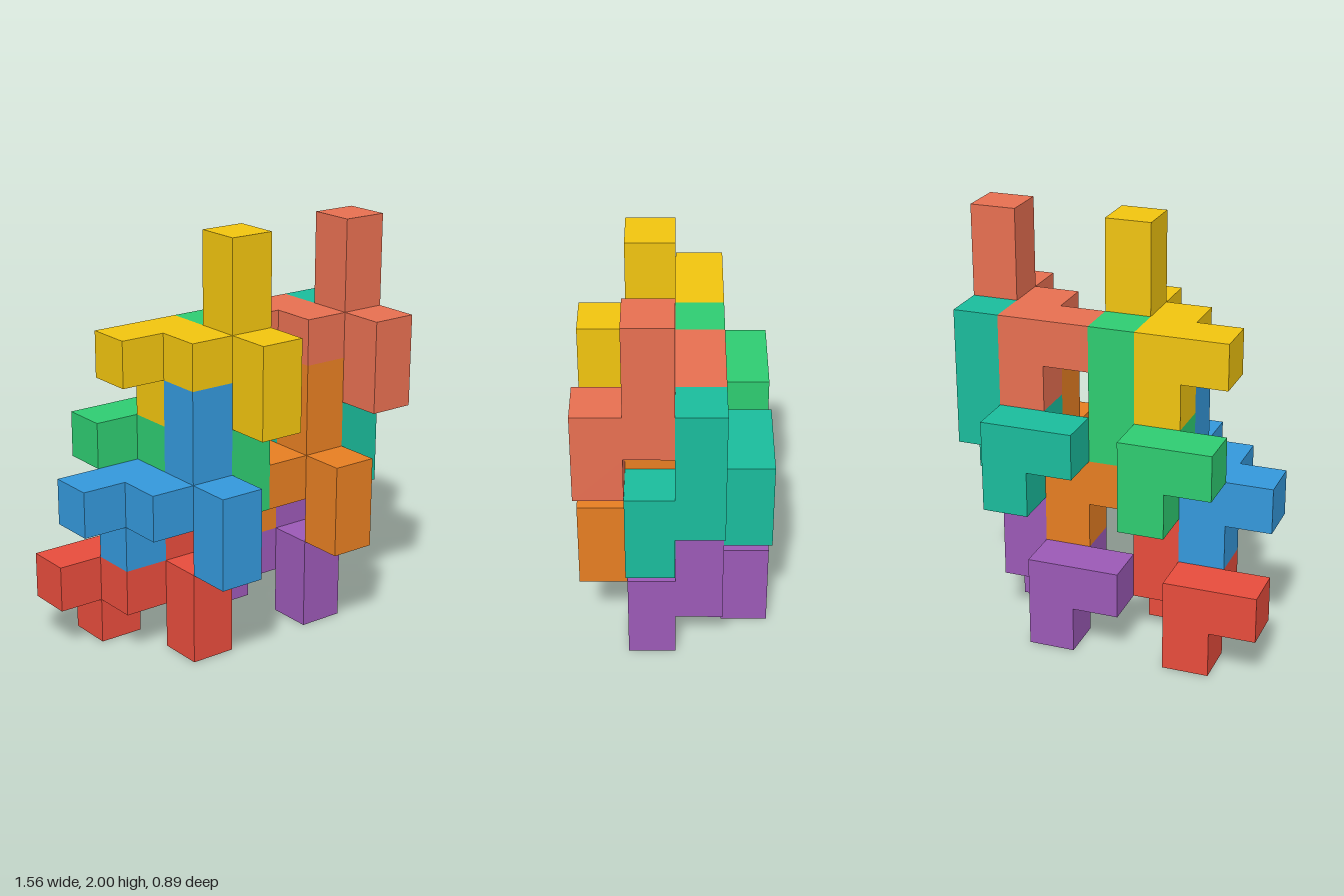
import * as THREE from 'three';
import { mergeGeometries } from 'three/addons/utils/BufferGeometryUtils.js';

const U = 2 / 9; // edge of one cube cell

// Cells of the repeated interlocking piece (x right, y up, z front)
const PIECE = [
  [0, 0, 0], [1, 0, 0], [1, -1, 0],            // back arm and its foot
  [1, 0, 1], [2, 0, 1], [2, 1, 1], [2, 2, 1],  // bridge and upright post
  [2, 0, 2], [2, -1, 2],                       // front arm and its foot
];

const SIDES = [
  [1, 0, 0], [-1, 0, 0], [0, 1, 0], [0, -1, 0], [0, 0, 1], [0, 0, -1],
].map((d) => new THREE.Vector3(...d));

// Name, colour and grid position of each piece
const PIECES = [
  ['redPiece', 0xe74c3c, [0, 1, 0]],
  ['purplePiece', 0x9b59b6, [3, 1, 0]],
  ['bluePiece', 0x3498db, [0, 3, 1]],
  ['orangePiece', 0xe67e22, [3, 3, 1]],
  ['greenPiece', 0x2ecc71, [1, 4, 0]],
  ['tealPiece', 0x1abc9c, [4, 4, 0]],
  ['yellowPiece', 0xf1c40f, [1, 6, 1]],
  ['coralPiece', 0xe76f51, [4, 6, 1]],
];

// Outer skin of the piece: one square per cell side with no neighbouring cell
function pieceGeometry() {
  const filled = new Set(PIECE.map(String));
  const front = new THREE.Vector3(0, 0, 1);
  const squares = [];
  for (const [x, y, z] of PIECE) {
    for (const n of SIDES) {
      if (filled.has(String([x + n.x, y + n.y, z + n.z]))) continue;
      const square = new THREE.PlaneGeometry(U, U);
      square.applyQuaternion(new THREE.Quaternion().setFromUnitVectors(front, n));
      square.translate((x + n.x / 2) * U, (y + n.y / 2) * U, (z + n.z / 2) * U);
      squares.push(square);
    }
  }
  return mergeGeometries(squares);
}

export function createModel() {
  const model = new THREE.Group();
  model.name = 'interlockingBlocks';
  const geometry = pieceGeometry();
  for (const [name, color, [x, y, z]] of PIECES) {
    const mesh = new THREE.Mesh(geometry, new THREE.MeshStandardMaterial({ color }));
    mesh.name = name;
    // The stack spans 7 x 9 x 4 cells
    mesh.position.set((x - 3) * U, (y + 0.5) * U, (z - 1.5) * U);
    model.add(mesh);
  }
  return model;
}
